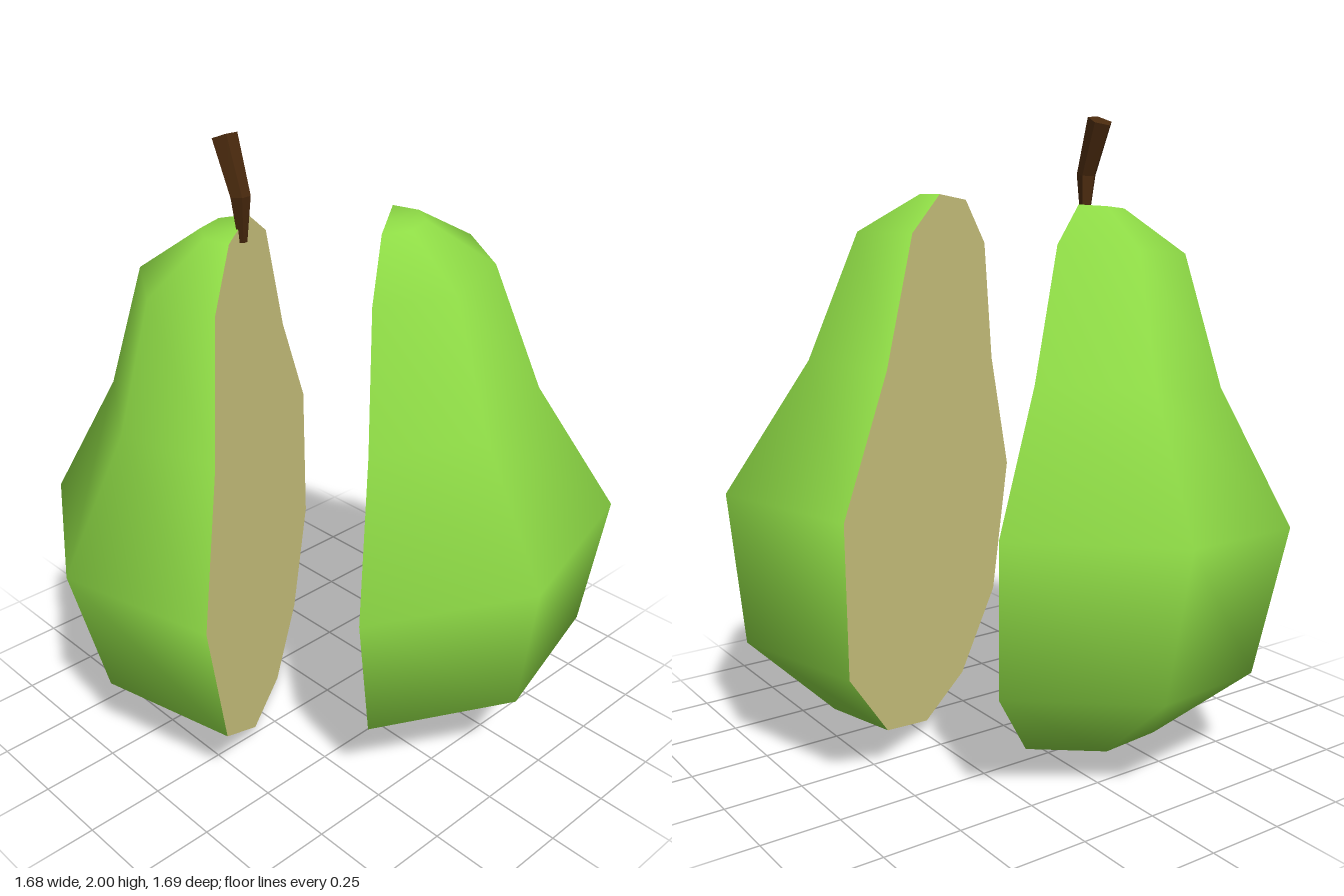
import * as THREE from 'three';

const skin = new THREE.MeshStandardMaterial({ color: 0x8fdc46 });
const flesh = new THREE.MeshStandardMaterial({ color: 0xddd588 });
const wood = new THREE.MeshStandardMaterial({ color: 0x4a2a0e });

// Pear outline as [radius, height], bottom to top
const profile = [[0, 0], [0.326, 0.075], [0.62, 0.32], [0.7, 0.79], [0.456, 1.2], [0.316, 1.6], [0.115, 1.73], [0, 1.73]]
  .map(([r, h]) => new THREE.Vector2(r, h));

// The fruit leans slightly, and is cut along this heading
const lean = new THREE.Quaternion().setFromUnitVectors(
  new THREE.Vector3(0, 1, 0), new THREE.Vector3(0.03, 1, 0.09).normalize());
const cutAngle = 0.627;

function makeHalf(name, angle, x, y, z) {
  const half = new THREE.Group();
  half.name = name;

  // Four-sided half turn of the skin
  const peel = new THREE.Mesh(new THREE.LatheGeometry(profile, 4, 0, Math.PI), skin);
  peel.name = 'skin';

  // Flat cut surface closing the half
  const mirrored = profile.slice(1, -1).reverse().map(p => new THREE.Vector2(-p.x, p.y));
  const outline = new THREE.Shape([...profile.slice(0, -1), ...mirrored]);
  const cut = new THREE.Mesh(new THREE.ShapeGeometry(outline).rotateY(-Math.PI / 2), flesh);
  cut.name = 'cutFace';

  half.add(peel, cut);
  half.quaternion.copy(lean).multiply(
    new THREE.Quaternion().setFromAxisAngle(new THREE.Vector3(0, 1, 0), angle));
  half.position.set(x, y, z);
  return half;
}

// Bent five-sided stem that widens to its tip
function makeStem() {
  const sides = 5;
  const rings = [
    { c: [-0.124, 1.68, 0.224], r: 0.014, tilt: 0 },
    { c: [-0.115, 1.82, 0.236], r: 0.031, tilt: 0.1 },
    { c: [-0.18, 1.983, 0.235], r: 0.039, tilt: 0.4 },
  ];
  const pos = [], index = [];
  for (const { c, r, tilt } of rings) {
    for (let i = 0; i < sides; i++) {
      const a = (i / sides) * Math.PI * 2 + 0.5;
      const dx = r * Math.cos(a);
      pos.push(c[0] + dx, c[1] + dx * tilt, c[2] + r * Math.sin(a));
    }
  }
  for (let j = 0; j < rings.length - 1; j++) {
    for (let i = 0; i < sides; i++) {
      const a = j * sides + i, b = j * sides + (i + 1) % sides;
      index.push(a, a + sides, b, b, a + sides, b + sides);
    }
  }
  // End caps
  const top = (rings.length - 1) * sides;
  for (let i = 1; i < sides - 1; i++) {
    index.push(0, i, i + 1, top, top + i + 1, top + i);
  }
  const geo = new THREE.BufferGeometry();
  geo.setAttribute('position', new THREE.Float32BufferAttribute(pos, 3));
  geo.setIndex(index);
  const flat = geo.toNonIndexed();
  flat.computeVertexNormals();
  const stem = new THREE.Mesh(flat, wood);
  stem.name = 'stem';
  return stem;
}

export function createModel() {
  const model = new THREE.Group();
  model.name = 'halvedPear';
  model.add(
    makeHalf('frontHalf', cutAngle + Math.PI, -0.174, 0, 0.084),
    makeHalf('backHalf', cutAngle, 0.126, 0.03, -0.226),
    makeStem(),
  );
  return model;
}
